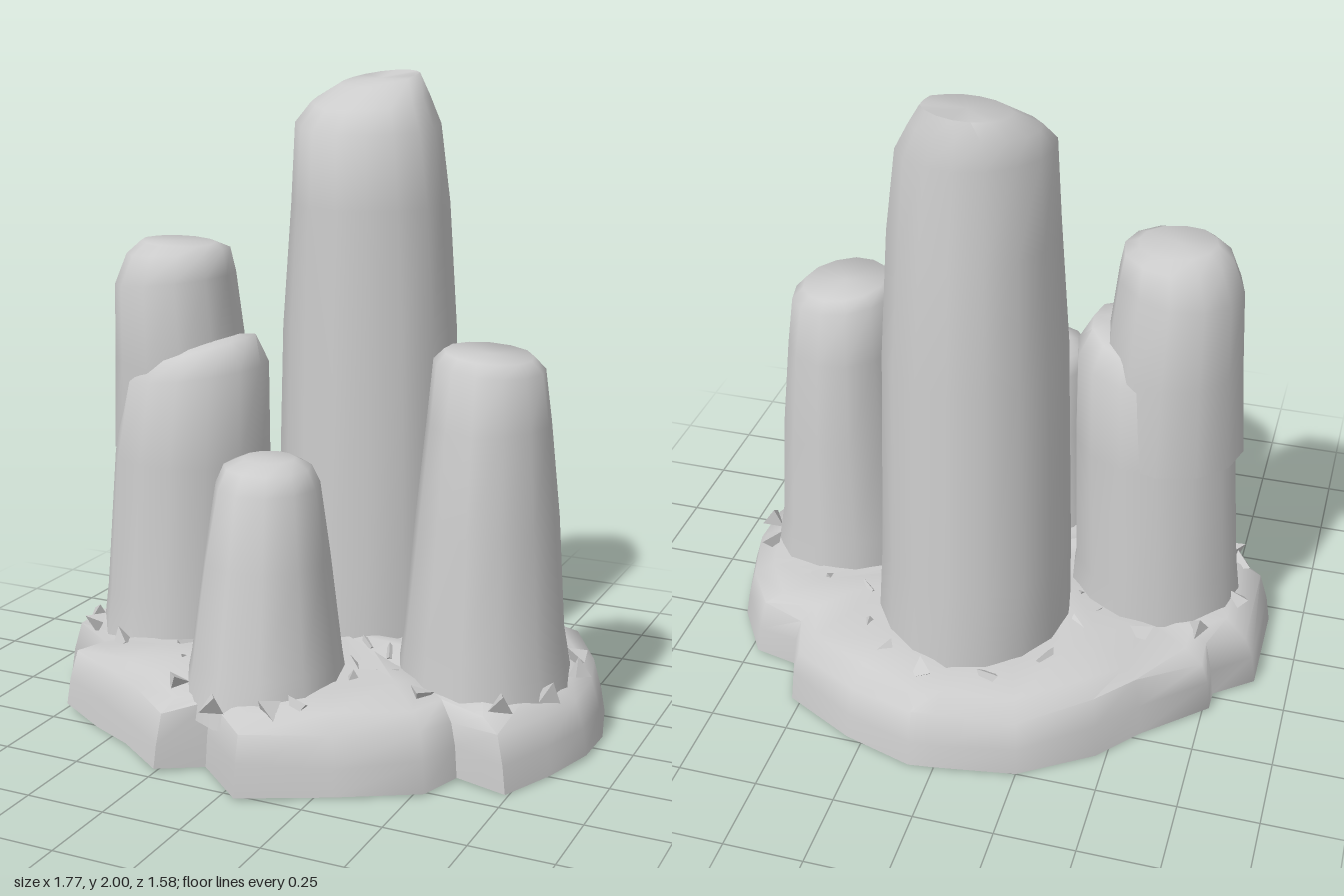
import * as THREE from 'three';
import { toCreasedNormals } from 'three/addons/utils/BufferGeometryUtils.js';

const material = new THREE.MeshStandardMaterial({ color: 0xcccccc });

// Small seeded wobble in -1..1
const wobble = (n) => {
  const s = Math.sin(n * 127.1 + 11.7) * 43758.5453;
  return 2 * (s - Math.floor(s)) - 1;
};

// Skins a stack of equal-sized point rings (bottom to top) and closes both ends
function skin(rings, crease) {
  const n = rings[0].length;
  const points = rings.flat();
  const index = [];
  for (let r = 0; r < rings.length - 1; r++) {
    for (let i = 0; i < n; i++) {
      const a = r * n + i, b = r * n + (i + 1) % n;
      index.push(a, a + n, b, b, a + n, b + n);
    }
  }
  const addCap = (start, top) => {
    const centre = new THREE.Vector3();
    for (let i = 0; i < n; i++) centre.addScaledVector(points[start + i], 1 / n);
    const c = points.push(centre) - 1;
    for (let i = 0; i < n; i++) {
      const a = start + i, b = start + (i + 1) % n;
      if (top) index.push(a, c, b);
      else index.push(a, b, c);
    }
  };
  addCap(0, false);
  addCap((rings.length - 1) * n, true);
  const geometry = new THREE.BufferGeometry().setFromPoints(points);
  geometry.setIndex(index);
  return toCreasedNormals(geometry, crease);
}

// Rock column from sections [y, xMin, xMax, zMin, zMax, tiltX, tiltZ]
function column(name, sections, sides, seed) {
  const rings = sections.map(([y, x0, x1, z0, z1, tx = 0, tz = 0], r) =>
    Array.from({ length: sides }, (_, i) => {
      const a = (i / sides) * Math.PI * 2;
      const k = 1 + 0.025 * wobble(seed + i) + 0.012 * wobble(seed + i * 7 + r * 31);
      const c = Math.cos(a) * k, s = Math.sin(a) * k;
      return new THREE.Vector3(
        (x0 + x1) / 2 + c * (x1 - x0) / 2,
        y + c * tx + s * tz,
        (z0 + z1) / 2 + s * (z1 - z0) / 2);
    }));
  const mesh = new THREE.Mesh(skin(rings, 1.15), material);
  mesh.name = name;
  return mesh;
}

// Broad slab with a ragged outline, bevelled rim and gently humped top
function rockBase() {
  const outline = [
    [0, -0.8], [0.08, -0.8], [0.3, -0.74], [0.53, -0.62], [0.58, -0.47], [0.72, -0.44],
    [0.83, -0.27], [0.88, -0.08], [0.88, 0.09], [0.82, 0.25], [0.74, 0.42], [0.58, 0.39],
    [0.53, 0.52], [0.3, 0.65], [0.05, 0.78], [-0.13, 0.62], [-0.25, 0.72], [-0.42, 0.6],
    [-0.58, 0.51], [-0.75, 0.42], [-0.69, 0.33], [-0.89, 0.18], [-0.89, -0.15],
    [-0.77, -0.24], [-0.77, -0.31], [-0.58, -0.48], [-0.47, -0.61], [-0.25, -0.75]];
  const layers = [[0.01, 1], [0.1, 0.985], [0.19, 0.955], [0.225, 0.88], [0.25, 0.7], [0.25, 0.35]];
  const rings = layers.map(([y, k], r) => outline.map(([x, z], i) =>
    new THREE.Vector3(x * k, y + (r ? 0.018 : 0.008) * wobble(i * 3 + r * 17), z * k)));
  const mesh = new THREE.Mesh(skin(rings, 1.0), material);
  mesh.name = 'rockBase';
  return mesh;
}

// Little jagged chips along the foot of a column
function footChips(x, z, rx, rz, count, seed) {
  const group = new THREE.Group();
  group.name = 'footChips';
  for (let i = 0; i < count; i++) {
    const a = ((i + 0.35 * wobble(seed + i)) / count) * Math.PI * 2;
    const chip = new THREE.Mesh(new THREE.TetrahedronGeometry(0.045), material);
    chip.position.set(x + Math.cos(a) * rx, 0.235, z + Math.sin(a) * rz);
    chip.rotation.set(wobble(seed + i * 2) * 3, wobble(seed + i * 5) * 3, 0);
    chip.name = 'chip';
    group.add(chip);
  }
  return group;
}

export function createModel() {
  const model = new THREE.Group();
  model.name = 'rockPillars';
  model.add(rockBase());

  // Tallest pillar at the back, its crown sloping down to the front
  model.add(column('tallPillar', [
    [0.15, -0.29, 0.33, -0.59, 0.06],
    [0.5, -0.28, 0.31, -0.57, 0.05],
    [1.2, -0.26, 0.29, -0.54, 0.03],
    [1.6, -0.235, 0.26, -0.51, 0.01],
    [1.85, -0.215, 0.235, -0.475, 0.0, -0.01, -0.02],
    [1.925, -0.18, 0.185, -0.465, -0.08, 0, -0.03],
    [1.985, -0.11, 0.14, -0.44, -0.18, 0.01, -0.02]], 16, 3));

  // Left pillar: a broad lower mass and a taller, offset upper block
  model.add(column('leftPillarLower', [
    [0.15, -0.8, -0.23, -0.24, 0.33],
    [0.35, -0.775, -0.25, -0.225, 0.305],
    [0.8, -0.74, -0.235, -0.21, 0.29],
    [1.07, -0.69, -0.235, -0.19, 0.27, 0.03],
    [1.14, -0.62, -0.28, -0.14, 0.22, 0.05],
    [1.17, -0.55, -0.33, -0.05, 0.15, 0.02]], 14, 21));
  model.add(column('leftPillarUpper', [
    [0.8, -0.78, -0.3, -0.21, 0.21],
    [1.1, -0.755, -0.325, -0.2, 0.23],
    [1.36, -0.74, -0.355, -0.17, 0.23, 0.02],
    [1.45, -0.7, -0.37, -0.13, 0.19, 0.01],
    [1.48, -0.65, -0.41, -0.08, 0.14, -0.005]], 12, 40));

  // Right pillar with a flat top
  model.add(column('rightPillar', [
    [0.15, 0.26, 0.81, -0.26, 0.35],
    [0.35, 0.285, 0.775, -0.24, 0.325],
    [0.7, 0.315, 0.745, -0.22, 0.285],
    [1.0, 0.34, 0.715, -0.19, 0.24],
    [1.17, 0.355, 0.69, -0.16, 0.2, -0.015],
    [1.205, 0.385, 0.655, -0.13, 0.17, -0.012]], 13, 63));

  // Short pillar at the front
  model.add(column('frontPillar', [
    [0.15, -0.29, 0.21, 0.13, 0.67],
    [0.3, -0.265, 0.185, 0.15, 0.64],
    [0.6, -0.235, 0.14, 0.17, 0.57],
    [0.82, -0.205, 0.105, 0.19, 0.52],
    [0.875, -0.185, 0.08, 0.22, 0.48],
    [0.9, -0.13, 0.03, 0.27, 0.42]], 11, 87));

  model.add(footChips(0.02, -0.27, 0.35, 0.36, 12, 5));
  model.add(footChips(-0.51, 0.04, 0.3, 0.31, 11, 25));
  model.add(footChips(0.53, 0.04, 0.29, 0.33, 11, 45));
  model.add(footChips(-0.04, 0.4, 0.27, 0.28, 10, 65));
  return model;
}
